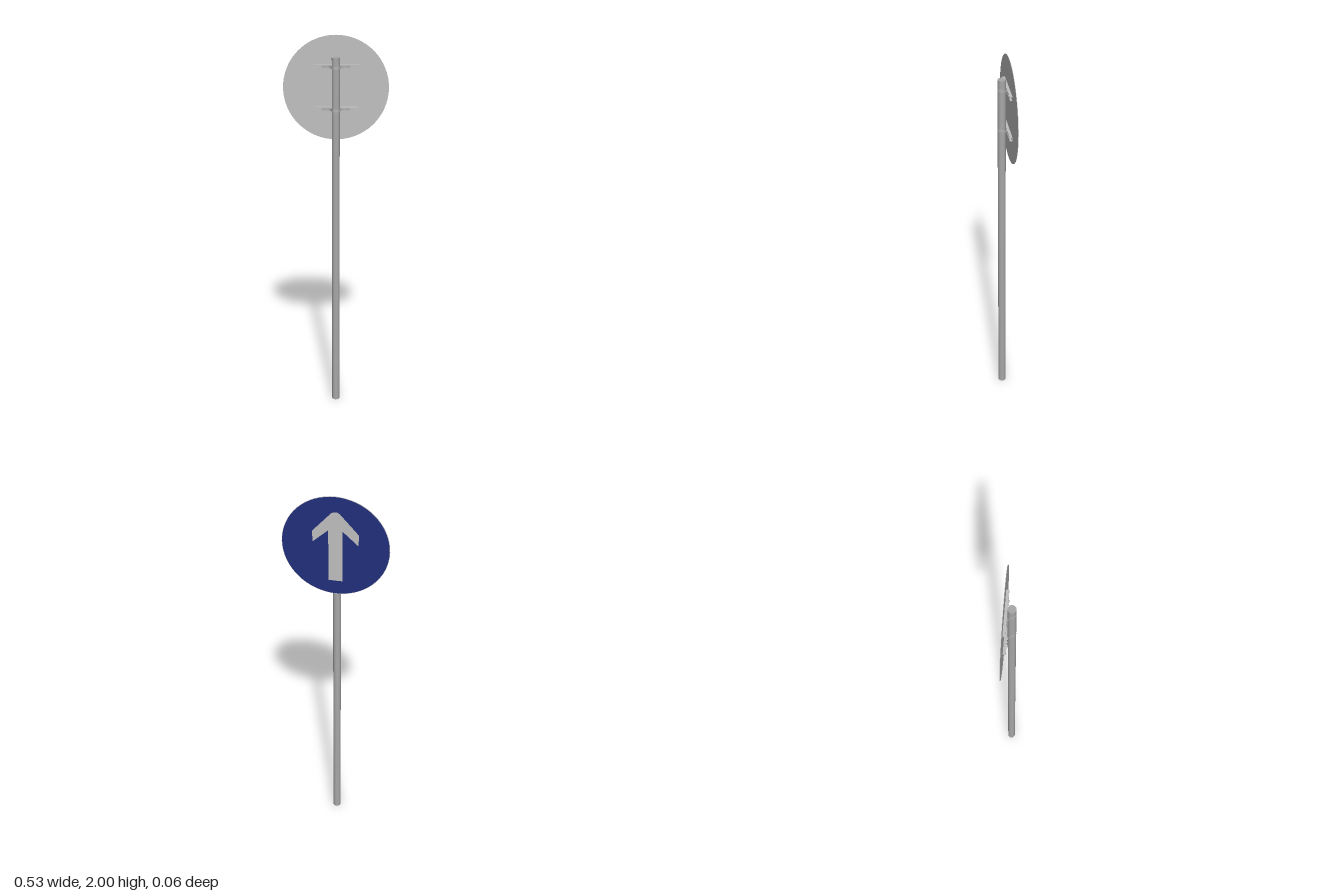
import * as THREE from 'three';

const POLE_R = 0.02, POLE_Z = 0.007, SIGN_Y = 1.735, SIGN_R = 0.265;

function material(name, color, side = THREE.FrontSide) {
  const m = new THREE.MeshStandardMaterial({ color, side });
  m.name = name;
  return m;
}

function add(parent, name, geometry, mat, x = 0, y = 0, z = 0) {
  const mesh = new THREE.Mesh(geometry, mat);
  mesh.name = name;
  mesh.position.set(x, y, z);
  parent.add(mesh);
  return mesh;
}

// Thin band that wraps the front of the pole and flares into two flanges
function strapGeometry(height) {
  const half = [[0.072, -0.0125], [0.05, -0.0122], [0.035, -0.009], [0.025, -0.001]];
  const pts = half.map(([x, z]) => new THREE.Vector3(x, 0, z));
  for (let i = 0; i <= 12; i++) {
    const a = Math.PI * i / 12;
    pts.push(new THREE.Vector3(Math.cos(a) * (POLE_R + 0.0008), 0, POLE_Z + Math.sin(a) * (POLE_R + 0.0008)));
  }
  half.reverse().forEach(([x, z]) => pts.push(new THREE.Vector3(-x, 0, z)));
  const curve = new THREE.CatmullRomCurve3(pts);
  const geo = new THREE.PlaneGeometry(1, height, 64, 1);
  const pos = geo.attributes.position;
  for (let i = 0; i < pos.count; i++) {
    const p = curve.getPoint(0.5 - pos.getX(i));
    pos.setXYZ(i, p.x, pos.getY(i), p.z);
  }
  geo.computeVertexNormals();
  return geo;
}

export function createModel() {
  const steel = material('pole steel', 0xa8a8a8);
  const strapSteel = material('strap steel', 0xb4b4b4, THREE.DoubleSide);
  const light = material('light grey', 0xc0c0c0);
  const blue = material('sign blue', 0x222f7c);

  const model = new THREE.Group();
  model.name = 'roadSign';

  add(model, 'pole', new THREE.CylinderGeometry(POLE_R, POLE_R, 1.895, 32), steel, 0, 0.9475, POLE_Z);

  // Round plate with its painted face turned to -z
  const sign = new THREE.Group();
  sign.name = 'sign';
  sign.position.y = SIGN_Y;
  model.add(sign);
  const plate = new THREE.CylinderGeometry(SIGN_R, SIGN_R, 0.002, 64).rotateX(Math.PI / 2);
  add(sign, 'plate', plate, light, 0, 0, -0.0282);
  add(sign, 'blueFace', new THREE.CircleGeometry(SIGN_R - 0.002, 64).rotateY(Math.PI), blue, 0, 0, -0.0296);

  // Upward arrow, mirrored about its centre line
  const side = [[0.035, -0.19], [0.035, 0.085], [0.113, 0.015], [0.113, 0.075], [0.02, 0.178], [0.008, 0.184]];
  const outline = [...side, ...side.map(([x, y]) => [-x, y]).reverse()];
  const arrow = new THREE.Shape(outline.map(([x, y]) => new THREE.Vector2(x, y)));
  add(sign, 'arrow', new THREE.ShapeGeometry(arrow).rotateY(Math.PI), light, 0, 0, -0.0302);

  // Two slotted rails clamped to the pole
  for (const y of [1.845, 1.63]) {
    const bracket = new THREE.Group();
    bracket.name = 'bracket';
    bracket.position.y = y;
    model.add(bracket);
    add(bracket, 'railBack', new THREE.BoxGeometry(0.222, 0.02, 0.002), light, 0, 0, -0.0262);
    for (const s of [-1, 1]) {
      add(bracket, 'railFlange', new THREE.BoxGeometry(0.222, 0.002, 0.0125), light, 0, s * 0.009, -0.02);
      add(bracket, 'railLip', new THREE.BoxGeometry(0.222, 0.006, 0.002), light, 0, s * 0.007, -0.0145);
      const bolt = new THREE.CylinderGeometry(0.005, 0.005, 0.003, 6).rotateX(Math.PI / 2);
      add(bracket, 'boltHead', bolt, steel, s * 0.06, 0, -0.0108);
      const shank = new THREE.CylinderGeometry(0.0025, 0.0025, 0.018, 12).rotateX(Math.PI / 2);
      add(bracket, 'boltShank', shank, steel, s * 0.06, 0, -0.017);
    }
    add(bracket, 'strap', strapGeometry(0.014), strapSteel);
  }
  return model;
}
